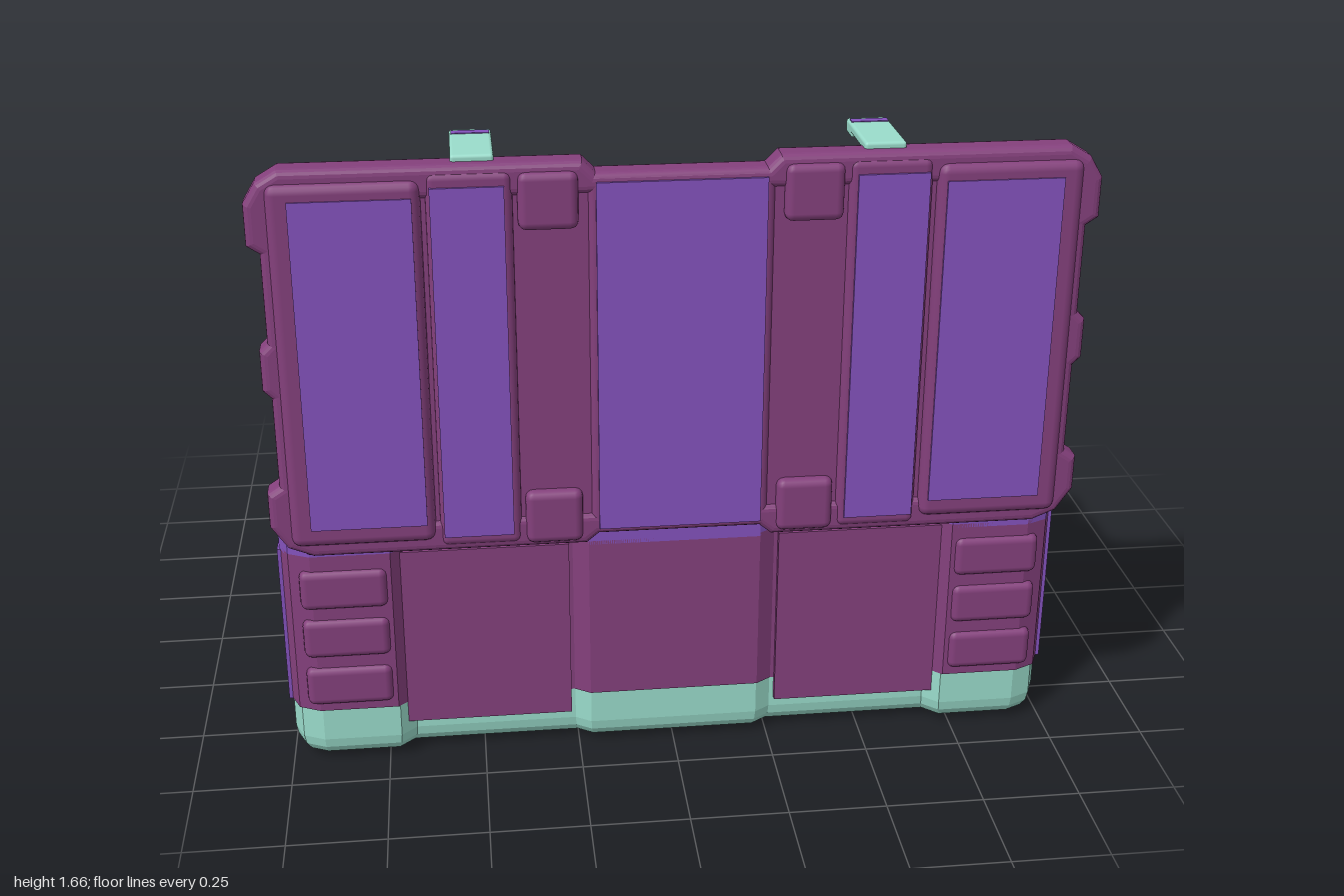
import * as THREE from 'three';
import { RoundedBoxGeometry } from 'three/addons/geometries/RoundedBoxGeometry.js';

const mat = (color) => new THREE.MeshStandardMaterial({ color });
const maroon = mat(0x84407c), purple = mat(0x8452bd), darkPurple = mat(0x563a85), mint = mat(0x9adccb),
  blue = mat(0x9cc4dc), green = mat(0x3ecba0), olive = mat(0x9ab254);

function add(parent, name, geometry, material) {
  const mesh = new THREE.Mesh(geometry, material);
  mesh.name = name;
  parent.add(mesh);
  return mesh;
}

// Box given by its extents; r > 0 rounds its edges
function block(parent, name, [x0, x1], [y0, y1], [z0, z1], material, r = 0) {
  const s = [x1 - x0, y1 - y0, z1 - z0];
  const geo = r ? new RoundedBoxGeometry(...s, 2, r) : new THREE.BoxGeometry(...s);
  geo.translate((x0 + x1) / 2, (y0 + y1) / 2, (z0 + z1) / 2);
  return add(parent, name, geo, material);
}

// Same block on both sides of x = 0
function pair(parent, name, [x0, x1], y, z, material, r) {
  block(parent, name, [x0, x1], y, z, material, r);
  block(parent, name, [-x1, -x0], y, z, material, r);
}

const poly = (points) => new THREE.Shape(points.map(([x, y]) => new THREE.Vector2(x, y)));
const mirrored = (half) => poly([...half, ...half.slice().reverse().map(([x, y]) => [-x, y])]);
const rect = (x0, x1, y0, y1) => new THREE.Path(
  [[x0, y0], [x0, y1], [x1, y1], [x1, y0]].map(([x, y]) => new THREE.Vector2(x, y)));

function extrude(shape, depth, bevel = 0) {
  return new THREE.ExtrudeGeometry(shape, {
    depth: depth - 2 * bevel, bevelEnabled: bevel > 0, bevelThickness: bevel,
    bevelSize: bevel, bevelOffset: -bevel, bevelSegments: 4, curveSegments: 6,
  }).translate(0, 0, bevel);
}

// Plan outline (x, z), extruded between two heights
function slab(parent, name, shape, y0, y1, material, bevel) {
  return add(parent, name, extrude(shape, y1 - y0, bevel).rotateX(Math.PI / 2).translate(0, y1, 0), material);
}

// Half of the scalloped plan of the case, front to back
const planHalf = [[0.22, 0.65], [0.26, 0.625], [0.68, 0.625], [0.72, 0.66], [0.92, 0.66], [0.975, 0.635], [1, 0.58],
  [1, 0.46], [0.96, 0.44], [0.96, 0.27], [0.99, 0.25], [0.99, 0.1], [0.96, 0.08], [0.96, -0.1],
  [1, -0.12], [1, -0.24], [0.975, -0.295], [0.92, -0.32], [0.72, -0.32], [0.69, -0.3], [0.25, -0.3],
  [0.22, -0.27]];

function buildCase(root) {
  const box = new THREE.Group();
  box.name = 'case';
  root.add(box);

  slab(box, 'base', mirrored(planHalf), 0, 0.26, mint, 0.07).scale.set(0.995, 1, 0.995);
  slab(box, 'body', mirrored(planHalf), 0.16, 0.61, maroon);
  const rim = mirrored(planHalf);
  rim.holes.push(rect(-0.89, 0.89, -0.25, 0.58));
  slab(box, 'rim', rim, 0.6, 0.65, purple);
  block(box, 'liner', [-0.89, 0.89], [0.6, 0.615], [-0.25, 0.58], blue);

  // Front skirts and back panels
  pair(box, 'frontPanel', [0.27, 0.7], [0.1, 0.6], [0.6, 0.64], maroon);
  pair(box, 'backPanel', [0.27, 0.67], [0.14, 0.6], [-0.312, -0.29], purple);
  block(box, 'backCentrePanel', [-0.16, 0.16], [0.44, 0.58], [-0.285, -0.26], purple);
  pair(box, 'backRib', [0.17, 0.21], [0.16, 0.6], [-0.3, -0.26], maroon, 0.01);

  // Grip ridges on the corners
  for (const y of [0.18, 0.32, 0.46]) {
    pair(box, 'cornerRidge', [0.73, 0.95], [y, y + 0.11], [0.63, 0.672], maroon, 0.02);
    pair(box, 'cornerRidge', [0.73, 0.95], [y, y + 0.11], [-0.33, -0.29], maroon, 0.02);
  }

  // Side panels: x, z range, y range
  const panels = [[1, 0.51, 0.59, 0.16, 0.6], [0.99, 0.13, 0.22, 0.16, 0.6], [1, -0.24, -0.15, 0.16, 0.6]];
  for (const z of [0.28, -0.1]) {
    panels.push([0.97, z, z + 0.165, 0.42, 0.6], [0.97, z, z + 0.165, 0.2, 0.25]);
  }
  for (const [x, z0, z1, y0, y1] of panels) {
    pair(box, 'sidePanel', [x - 0.03, x + 0.005], [y0, y1], [z0, z1], purple);
  }

  // Rim inserts and hinges
  pair(box, 'rimInsert', [0.86, 0.94], [0.62, 0.653], [-0.31, -0.26], darkPurple);
  for (const x of [0.26, 0.76]) {
    pair(box, 'rimInsert', [x, x + 0.08], [0.61, 0.654], [0.6, 0.64], darkPurple);
  }
  pair(box, 'hinge', [0.8, 0.93], [0.63, 0.69], [0.61, 0.7], maroon, 0.02);
}

function buildLid(root) {
  const lid = new THREE.Group();
  lid.name = 'lid';
  root.add(lid);

  const half = [[0.2, 0.68], [0.23, 0.655], [0.9, 0.655], [0.96, 0.68], [1, 0.74], [1, 0.83], [0.97, 0.85],
    [0.97, 1.08], [0.99, 1.1], [0.99, 1.2], [0.97, 1.22], [0.97, 1.44], [1, 1.46], [1, 1.56], [0.97, 1.61],
    [0.92, 1.64], [0.23, 1.64], [0.2, 1.61]];
  const frame = mirrored(half);
  frame.holes.push(rect(-0.88, 0.88, 0.74, 1.56));
  add(lid, 'lidFrame', extrude(frame, 0.08, 0.02).translate(0, 0, 0.67), maroon);
  block(lid, 'lidPlate', [-0.91, 0.91], [0.71, 1.59], [0.71, 0.74], maroon);
  block(lid, 'lidLiner', [-0.9, 0.9], [0.72, 1.58], [0.695, 0.715], blue);

  // Raised ribs with inset panels on the outer face
  pair(lid, 'lidEndRib', [0.6, 0.95], [0.69, 1.61], [0.7, 0.766], maroon, 0.025);
  pair(lid, 'lidEndPanel', [0.62, 0.9], [0.74, 1.57], [0.74, 0.77], purple);
  pair(lid, 'lidRib', [0.39, 0.59], [0.67, 1.625], [0.7, 0.756], maroon, 0.02);
  pair(lid, 'lidPanel', [0.41, 0.58], [0.7, 1.59], [0.74, 0.762], purple);
  block(lid, 'lidCentreRib', [-0.22, 0.22], [0.685, 1.61], [0.7, 0.75], maroon, 0.02);
  block(lid, 'lidCentrePanel', [-0.2, 0.2], [0.7, 1.59], [0.74, 0.757], purple);
  for (const y of [0.67, 1.48]) {
    pair(lid, 'grooveStop', [0.24, 0.38], [y, y + 0.14], [0.72, 0.765], maroon, 0.02);
  }
  // Tabs around the inner frame
  for (const y of [0.84, 1.08, 1.32]) {
    pair(lid, 'lidTab', [0.89, 0.96], [y, y + 0.12], [0.665, 0.68], purple);
  }

  // Latches
  pair(lid, 'latch', [0.43, 0.53], [1.63, 1.655], [0.5, 0.72], mint, 0.008);
  pair(lid, 'latchLip', [0.43, 0.53], [1.62, 1.645], [0.5, 0.56], mint, 0.008);
  pair(lid, 'latchStripe', [0.435, 0.525], [1.64, 1.657], [0.52, 0.545], purple);
}

// Tray with its high wall at the given z and its underside at the given y
function buildTray(root, name, y, z) {
  const tray = new THREE.Group();
  tray.name = name;
  tray.position.set(0, y, z);
  root.add(tray);

  block(tray, 'trayBottom', [-0.8, 0.8], [0.01, 0.025], [-0.775, -0.01], green);
  block(tray, 'trayMat', [-0.79, 0.79], [0.02, 0.033], [-0.765, -0.02], blue);
  block(tray, 'trayLip', [-0.81, 0.81], [0.01, 0.06], [-0.785, -0.77], green);

  // Sloping side walls, profile in z and y
  const top = [[-0.005, 0.27], [-0.08, 0.27], [-0.35, 0.06], [-0.78, 0.06]];
  const side = extrude(poly([[0, 0], ...top, [-0.78, 0.012]].reverse()), 0.02).rotateY(-Math.PI / 2);
  for (const x of [0.81, -0.79]) add(tray, 'traySide', side, green).position.x = x;
  pair(tray, 'trayRail', [0.8, 0.845], [0.01, 0.035], [-0.77, -0.2], mint, 0.008);

  // Slotted wall with a dip in the middle
  const crest = [[0.8, 0.27], [0.3, 0.27], [0.16, 0.24]];
  const wall = mirrored([[0.8, 0], ...crest]);
  wall.holes.push(rect(0.18, 0.66, 0.13, 0.17), rect(-0.66, -0.18, 0.13, 0.17));
  add(tray, 'trayWall', extrude(wall, 0.02).translate(0, 0, -0.02), green);

  // Edge trim along every upper edge
  const trim = (a, b) => add(tray, 'trayTrim', new THREE.TubeGeometry(
    new THREE.LineCurve3(new THREE.Vector3(...a), new THREE.Vector3(...b)), 1, 0.014, 8), olive);
  for (const s of [1, -1]) {
    for (let i = 0; i < 3; i++) {
      trim([s * 0.803, top[i][1], top[i][0]], [s * 0.803, top[i + 1][1], top[i + 1][0]]);
    }
    for (let i = 0; i < 2; i++) {
      trim([s * crest[i][0], crest[i][1], -0.012], [s * crest[i + 1][0], crest[i + 1][1], -0.012]);
    }
  }
  trim([-0.16, 0.24, -0.012], [0.16, 0.24, -0.012]);
  trim([-0.81, 0.055, -0.778], [0.81, 0.055, -0.778]);
}

// Upright carrying the trays, with a purple inset and a low foot behind it
function buildPosts(root, z) {
  const shape = poly([[z, 0.61], [z + 0.125, 0.61], [z + 0.125, 1.05], [z + 0.115, 1.06], [z + 0.01, 1.06], [z, 1.05]]);
  shape.holes.push(rect(z + 0.035, z + 0.09, 0.79, 0.99));
  const geo = extrude(shape, 0.055).rotateY(-Math.PI / 2);
  for (const x of [0.877, -0.822]) add(root, 'post', geo, olive).position.x = x;
  pair(root, 'postInset', [0.835, 0.865], [0.78, 1], [z + 0.03, z + 0.095], darkPurple);
  pair(root, 'postButton', [0.83, 0.88], [0.66, 0.72], [z + 0.04, z + 0.085], purple);
  pair(root, 'postFoot', [0.825, 0.87], [0.61, 0.71], [z - 0.13, z + 0.01], olive, 0.015);
}

export function createModel() {
  const root = new THREE.Group();
  root.name = 'openCaseWithTrays';
  buildCase(root);
  buildLid(root);
  buildTray(root, 'upperTray', 0.99, 0.57);
  buildTray(root, 'lowerTray', 0.675, 0.02);
  for (const z of [0.373, -0.007]) buildPosts(root, z);
  return root;
}
